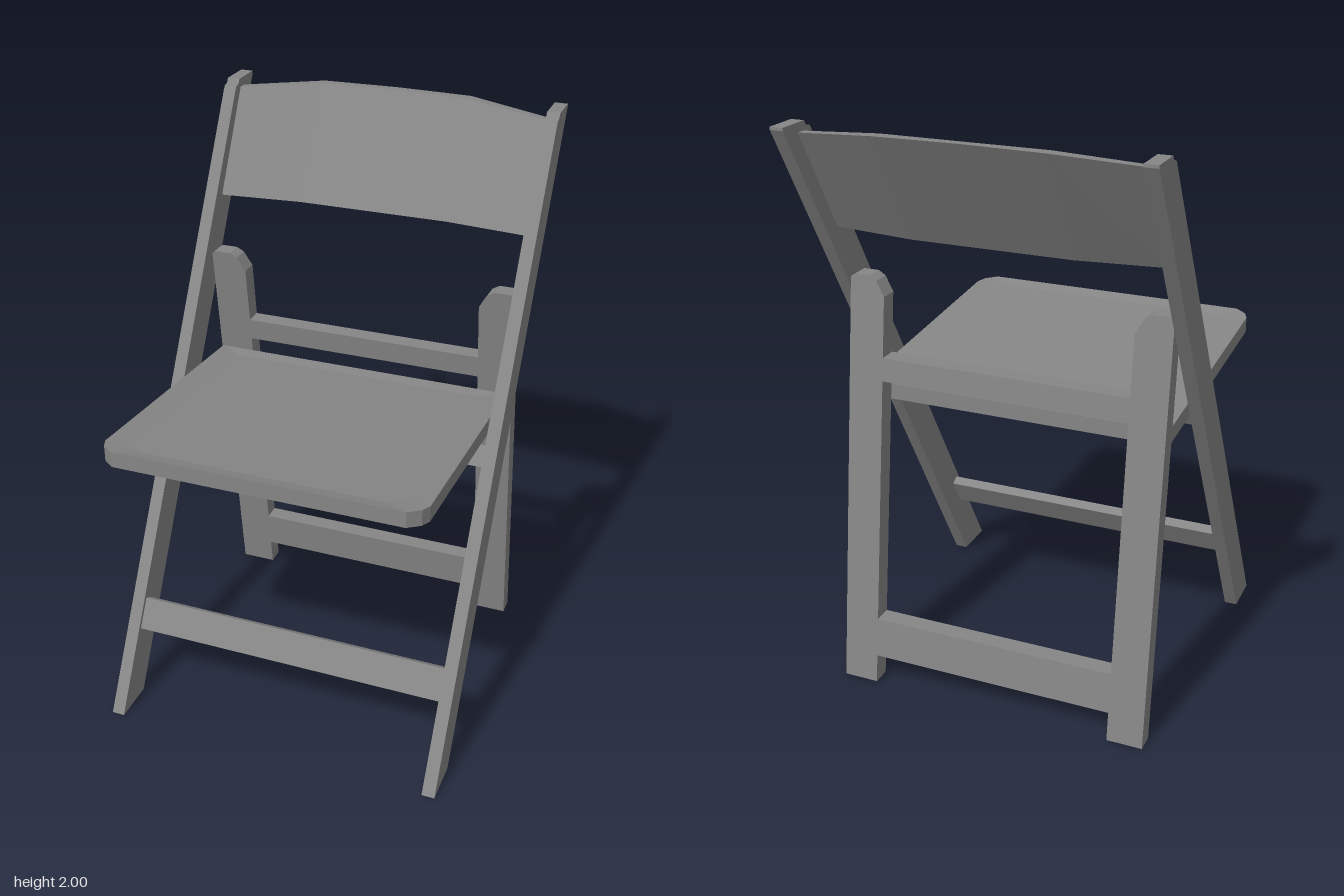
import * as THREE from 'three';

const material = new THREE.MeshStandardMaterial({ color: 0x868686, flatShading: true });

// Closed solid through rings of [x, y, z] points, wound counter-clockwise about the loft direction
function loft(rings) {
  const n = rings[0].length, last = (rings.length - 1) * n, index = [];
  for (let r = 0; r < rings.length - 1; r++) {
    for (let j = 0; j < n; j++) {
      const a = r * n + j, b = r * n + (j + 1) % n;
      index.push(a, b, b + n, a, b + n, a + n);
    }
  }
  for (let j = 1; j < n - 1; j++) {
    index.push(0, j + 1, j, last, last + j, last + j + 1);
  }
  const geo = new THREE.BufferGeometry();
  geo.setAttribute('position', new THREE.Float32BufferAttribute(rings.flat(2), 3));
  geo.setIndex(index);
  const flat = geo.toNonIndexed();
  flat.computeVertexNormals();
  return flat;
}

function extrude(points, depth) {
  const shape = new THREE.Shape(points.map(([x, y]) => new THREE.Vector2(x, y)));
  return new THREE.ExtrudeGeometry(shape, { depth, bevelEnabled: false });
}

// Lean a part forward along the line of the rear frame
const REAR_DEPTH = 0.064;
function leanRear(geo) {
  const p = geo.attributes.position;
  for (let i = 0; i < p.count; i++) p.setZ(i, p.getZ(i) - 0.524 + 0.131 * p.getY(i));
  geo.computeVertexNormals();
  return geo;
}

export function createModel() {
  const chair = new THREE.Group();
  chair.name = 'foldingChair';
  const add = (name, geo) => {
    const mesh = new THREE.Mesh(geo, material);
    mesh.name = name;
    chair.add(mesh);
    return mesh;
  };

  // Long front legs, which carry the backrest; profile is [z, y]
  const frontProfile = [
    [0.62, 0], [0.467, 0], [-0.672, 1.99], [-0.672, 2], [-0.555, 2],
    [-0.545, 1.985], [-0.525, 1.98], [-0.515, 1.965],
  ];
  // Rear legs with a rounded inner shoulder; profile is [x, y]
  const rearProfile = [
    [0.435, 0], [0.56, 0], [0.56, 1.44], [0.545, 1.45], [0.49, 1.45],
    [0.465, 1.435], [0.45, 1.41], [0.435, 1.385],
  ];
  for (const [side, s] of [['left', 1], ['right', -1]]) {
    const front = extrude(frontProfile, 0.045);
    front.rotateY(-Math.PI / 2);
    front.translate(s > 0 ? 0.605 : -0.56, 0, 0);
    add(side + 'FrontLeg', front);
    add(side + 'RearLeg', leanRear(extrude(rearProfile.map(([x, y]) => [s * x, y]), REAR_DEPTH)));
  }

  // Rails between the rear legs
  for (const [name, y0, y1] of [['rearLowerRail', 0.1, 0.24], ['rearUpperRail', 1.1, 1.18]]) {
    const rail = new THREE.BoxGeometry(0.87, y1 - y0, REAR_DEPTH);
    rail.translate(0, (y0 + y1) / 2, REAR_DEPTH / 2);
    add(name, leanRear(rail));
  }

  // Rails between the front legs, tilted with them; [y, z] is the lower front edge
  const tilt = Math.atan(0.576);
  for (const [name, y, z, height] of [['frontRail', 0.267, 0.45, 0.113], ['seatSupportRail', 0.96, 0.052, 0.075]]) {
    const rail = new THREE.BoxGeometry(1.12, height, 0.036);
    rail.translate(0, height / 2, -0.018);
    const mesh = add(name, rail);
    mesh.rotation.x = -tilt;
    mesh.position.set(0, y, z);
  }

  // Seat: sloping slab with clipped front corners and a shallow dished top
  const outline = [
    [-0.49, 0.667], [0.49, 0.667], [0.53, 0.635], [0.545, 0.6],
    [0.545, -0.3], [-0.545, -0.3], [-0.545, 0.6], [-0.53, 0.635],
  ];
  const seatRing = (drop, kx = 1, kz = 1) => outline.map(([x, z]) => {
    const zz = 0.18 + (z - 0.18) * kz;
    return [x * kx, 1.14 - 0.083 * (0.67 - zz) - drop, zz];
  });
  add('seat', loft([seatRing(0.055), seatRing(0), seatRing(0.008, 0.84, 0.9)]));

  // Backrest: bowed panel; [x, top y, top front z, top back z, bottom front z, bottom back z]
  const stations = [
    [0, 2, -0.626, -0.656, -0.403, -0.438],
    [0.27, 1.997, -0.614, -0.655, -0.403, -0.438],
    [0.56, 1.97, -0.563, -0.592, -0.373, -0.4],
  ];
  const mirrored = stations.slice(1).reverse().map(([x, ...rest]) => [-x, ...rest]);
  add('backrest', loft([...mirrored, ...stations].map(([x, y, tf, tb, bf, bb]) => [
    [x, y, tf], [x, 1.627, bf], [x, 1.627, bb], [x, y, tb],
  ])));

  return chair;
}
